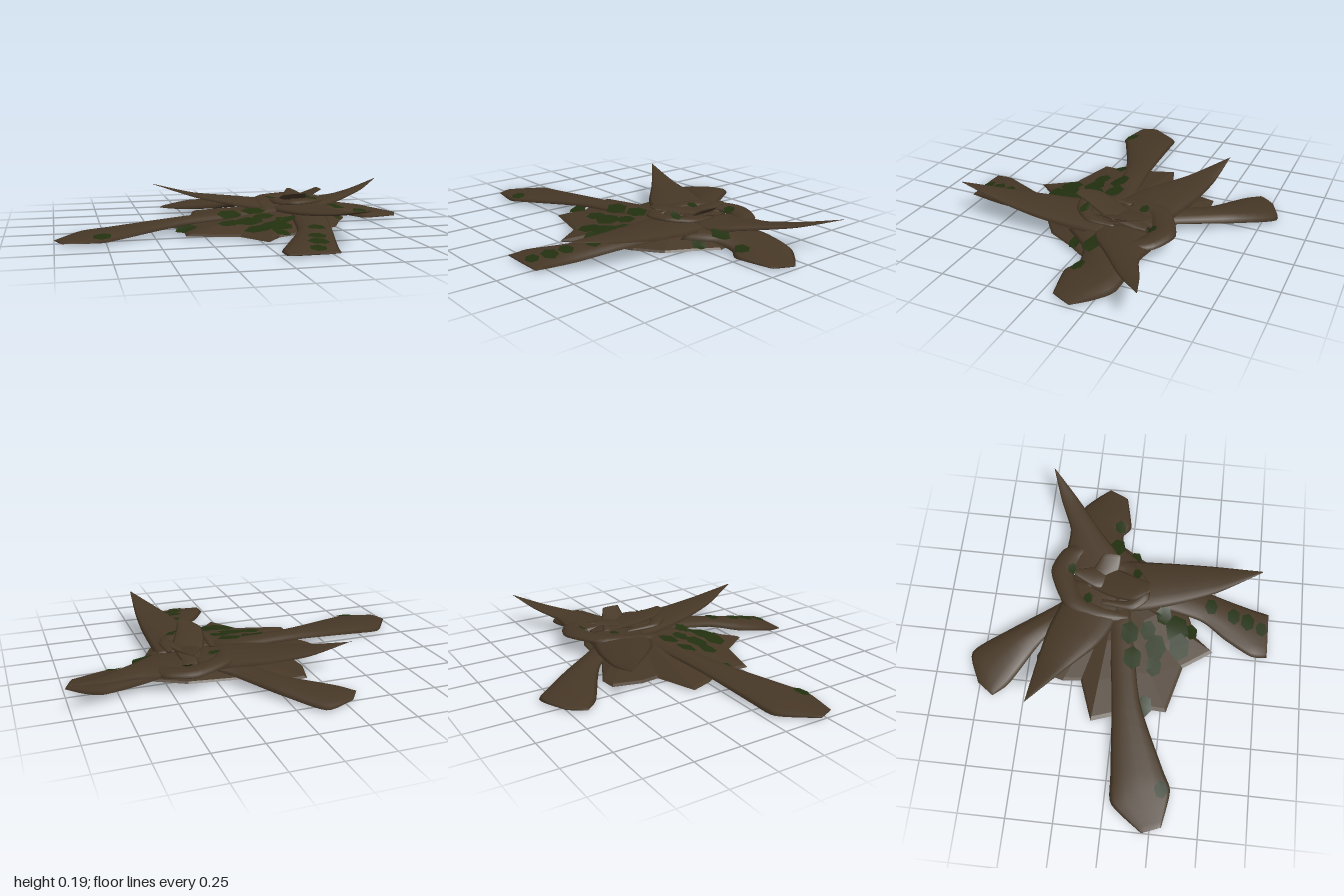
import * as THREE from 'three';

const bark = new THREE.MeshStandardMaterial({ color: 0x463726 });
bark.name = 'bark';
const moss = new THREE.MeshStandardMaterial({ color: 0x22300f, side: THREE.DoubleSide });
moss.name = 'moss';

// Skin a list of closed rings of points
function skin(rings) {
  const n = rings[0].length, pos = [], idx = [];
  rings.forEach(r => r.forEach(p => pos.push(...p)));
  for (let i = 0; i < rings.length - 1; i++) {
    for (let j = 0; j < n; j++) {
      const k = (j + 1) % n;
      const a = i * n + j, b = a + n, c = (i + 1) * n + k, d = i * n + k;
      idx.push(a, b, c, a, c, d);
    }
  }
  const g = new THREE.BufferGeometry();
  g.setAttribute('position', new THREE.Float32BufferAttribute(pos, 3));
  g.setIndex(idx);
  g.computeVertexNormals();
  return g;
}

// Limb from rows of [left x, left z, right x, right z, edge height, bulge]
function limb(rows, steps = 5, sides = 12) {
  const curve = f => new THREE.CatmullRomCurve3(rows.map(f), false, 'catmullrom', 0.35);
  const left = curve(r => new THREE.Vector3(r[0], r[4], r[1]));
  const right = curve(r => new THREE.Vector3(r[2], r[4], r[3]));
  const bulge = curve(r => new THREE.Vector3(r[5], 0, 0));
  const rings = [], count = (rows.length - 1) * steps;
  for (let i = 0; i <= count; i++) {
    const t = i / count, L = left.getPoint(t), R = right.getPoint(t), h = bulge.getPoint(t).x;
    const mid = L.clone().add(R).multiplyScalar(0.5), half = R.sub(L).multiplyScalar(0.5);
    const ring = [];
    for (let j = 0; j < sides; j++) {
      const a = j / sides * Math.PI * 2, s = Math.sin(a), c = Math.cos(a);
      const y = mid.y + half.y * c + s * h * (s > 0 ? 1 : 0.4);
      ring.push([mid.x + half.x * c, Math.max(0.008, y), mid.z + half.z * c]);
    }
    rings.push(ring);
  }
  // close both ends
  const close = ring => {
    const m = [0, 1, 2].map(k => ring.reduce((s, p) => s + p[k], 0) / sides);
    return ring.map(() => m);
  };
  return skin([close(rings[0]), ...rings, close(rings[count])]);
}

const ROOTS = {
  leftSpreadingRoot: [[0.45, -0.28, 0.48, 0.1, 0.06, 0.03], [0.66, -0.33, 0.58, -0.03, 0.045, 0.03],
    [0.83, -0.32, 0.68, -0.06, 0.02, 0.035], [0.92, -0.25, 0.75, -0.02, 0.012, 0.025], [0.99, -0.17, 0.94, -0.06, 0.01, 0.006]],
  rightLongRoot: [[0.2, 0.04, 0.18, -0.09, 0.07, 0.025], [-0.3, 0.13, -0.3, -0.02, 0.05, 0.027],
    [-0.66, 0.29, -0.72, 0.02, 0.02, 0.03], [-0.77, 0.34, -0.87, 0.04, 0.012, 0.024], [-0.96, 0.31, -1, 0.21, 0.01, 0.006]],
  frontRoot: [[0.45, 0.1, 0.25, 0.1, 0.07, 0.03], [0.38, 0.4, 0.19, 0.42, 0.045, 0.03],
    [0.33, 0.6, 0.1, 0.57, 0.02, 0.035], [0.3, 0.72, 0.02, 0.72, 0.012, 0.025], [0.28, 0.81, 0.02, 0.81, 0.01, 0.006]],
  backRoot: [[0.1, -0.25, 0.3, -0.28, 0.07, 0.03], [0.02, -0.4, 0.2, -0.38, 0.055, 0.03],
    [-0.07, -0.47, 0.03, -0.63, 0.03, 0.04], [-0.28, -0.59, -0.12, -0.82, 0.012, 0.028], [-0.355, -0.67, -0.29, -0.76, 0.01, 0.006]],
};

const THORNS = {
  rightBackThorn: [[0.3, -0.02, 0.35, -0.35, 0.08, 0.03], [0.1, -0.05, 0.2, -0.36, 0.085, 0.03],
    [-0.03, -0.12, 0.03, -0.41, 0.1, 0.025], [-0.2, -0.28, -0.2, -0.445, 0.125, 0.015], [-0.425, -0.47, -0.42, -0.465, 0.185, 0.001]],
  leftBackThorn: [[0.4, -0.36, 0.4, -0.03, 0.075, 0.03], [0.53, -0.37, 0.52, -0.06, 0.08, 0.03],
    [0.66, -0.365, 0.65, -0.18, 0.095, 0.025], [0.82, -0.435, 0.84, -0.34, 0.125, 0.014], [1, -0.5, 1, -0.495, 0.175, 0.001]],
  frontThorn: [[0.5, -0.08, 0.18, -0.05, 0.075, 0.03], [0.5, 0.12, 0.2, 0.1, 0.085, 0.03],
    [0.5, 0.28, 0.25, 0.28, 0.1, 0.025], [0.49, 0.48, 0.33, 0.5, 0.13, 0.014], [0.462, 0.74, 0.455, 0.74, 0.185, 0.001]],
};

const CROWN = {
  archedCollar: [[0.13, 0.02, 0.17, 0.02, 0.08, 0.01], [0.11, -0.15, 0.2, -0.13, 0.095, 0.022], [0.17, -0.33, 0.25, -0.25, 0.1, 0.025],
    [0.38, -0.44, 0.38, -0.31, 0.095, 0.028], [0.53, -0.385, 0.48, -0.28, 0.09, 0.025], [0.6, -0.25, 0.52, -0.2, 0.08, 0.02]],
  innerCurl: [[0.46, -0.14, 0.43, -0.13, 0.12, 0.008], [0.47, 0, 0.4, -0.02, 0.125, 0.015], [0.38, 0.1, 0.35, 0.03, 0.13, 0.018],
    [0.26, 0.13, 0.28, 0.05, 0.13, 0.018], [0.18, 0.04, 0.23, 0, 0.125, 0.015], [0.2, -0.14, 0.23, -0.13, 0.12, 0.008]],
  tallShard: [[0.4, -0.28, 0.34, -0.28, 0.09, 0.01], [0.42, -0.1, 0.25, -0.1, 0.13, 0.015], [0.36, 0.05, 0.22, 0.04, 0.165, 0.012], [0.33, 0.13, 0.27, 0.13, 0.187, 0.002]],
  sideShard: [[0.3, -0.24, 0.3, -0.14, 0.1, 0.01], [0.4, -0.2, 0.4, -0.06, 0.135, 0.015], [0.48, -0.15, 0.48, -0.05, 0.18, 0.004]],
  backShard: [[0.32, -0.05, 0.42, -0.05, 0.11, 0.01], [0.29, -0.17, 0.42, -0.16, 0.13, 0.015], [0.35, -0.3, 0.38, -0.3, 0.155, 0.003]],
};

// Low ragged mound with a flat underside
function mound() {
  const rim = [[-0.19, -0.45], [-0.1, -0.46], [0.1, -0.36], [0.4, -0.32], [0.58, -0.22], [0.62, -0.05], [0.55, 0.06],
    [0.48, 0.2], [0.35, 0.3], [0.2, 0.37], [0.1, 0.41], [0.02, 0.51], [-0.09, 0.35], [-0.35, 0.28], [-0.34, 0.1],
    [-0.4, 0], [-0.44, -0.12], [-0.22, -0.2], [-0.23, -0.3]];
  const cx = 0.3, cz = -0.05;
  const profile = [[0, 0], [0.8, 0], [1, 0.012], [0.97, 0.022], [0.7, 0.048], [0.4, 0.075], [0, 0.09]];
  return skin(profile.map(([s, y]) => rim.map(([x, z]) => [cx + (x - cx) * s, y, cz + (z - cz) * s]))).toNonIndexed();
}

// Moss leaves: [x, z, radius, turn]
const LEAVES = [[-0.08, 0.07, 0.07, 0], [0.06, 0.04, 0.07, 1], [-0.11, 0.19, 0.06, 2], [0, 0.19, 0.08, 0.5], [0.02, 0.32, 0.08, 1],
  [0.12, 0.3, 0.09, 0.3], [0.19, 0.22, 0.06, 1.3], [0.09, 0.14, 0.06, 0.8], [0.12, 0.38, 0.05, 2], [-0.33, 0.16, 0.06, 0.2],
  [-0.77, 0.29, 0.05, 0.4], [0.27, 0.48, 0.05, 0.6], [0.23, 0.61, 0.05, 0.1], [0.21, 0.69, 0.055, 0.9], [0.18, 0.77, 0.045, 0.3],
  [0.23, -0.21, 0.035, 1], [0.4, -0.32, 0.035, 0.2], [0.39, 0.05, 0.035, 0.7], [0.58, -0.08, 0.06, 0.3], [0.73, -0.08, 0.045, 1.1],
  [0.54, 0.03, 0.045, 0.5]];

export function createModel() {
  const model = new THREE.Group();
  const add = (name, geometry, material, parent = model) => {
    const mesh = new THREE.Mesh(geometry, material);
    mesh.name = name;
    parent.add(mesh);
    return mesh;
  };

  const base = mound();
  base.computeVertexNormals();
  add('mound', base, bark);
  for (const set of [ROOTS, THORNS, CROWN]) {
    for (const [name, rows] of Object.entries(set)) add(name, limb(rows), bark);
  }

  // Drape each leaf on the bark below it
  model.updateMatrixWorld(true);
  const wood = [...model.children], ray = new THREE.Raycaster();
  const down = new THREE.Vector3(0, -1, 0);
  const height = (x, z, fallback) => {
    ray.set(new THREE.Vector3(x, 1, z), down);
    const hit = ray.intersectObjects(wood, false)[0];
    return hit ? hit.point.y : fallback;
  };
  const leaves = new THREE.Group();
  leaves.name = 'mossLeaves';
  LEAVES.forEach(([x, z, r, turn]) => {
    const y = height(x, z, 0.02), g = new THREE.CircleGeometry(r, 6, turn);
    g.rotateX(-Math.PI / 2);
    g.scale(1, 1, 0.75);
    g.translate(x, 0, z);
    const p = g.attributes.position;
    for (let i = 0; i < p.count; i++) {
      const h = height(p.getX(i), p.getZ(i), y - 0.01);
      p.setY(i, THREE.MathUtils.clamp(h, y - 0.02, y + 0.02) + 0.007);
    }
    g.computeVertexNormals();
    add('mossLeaf', g, moss, leaves);
  });
  model.add(leaves);
  return model;
}
